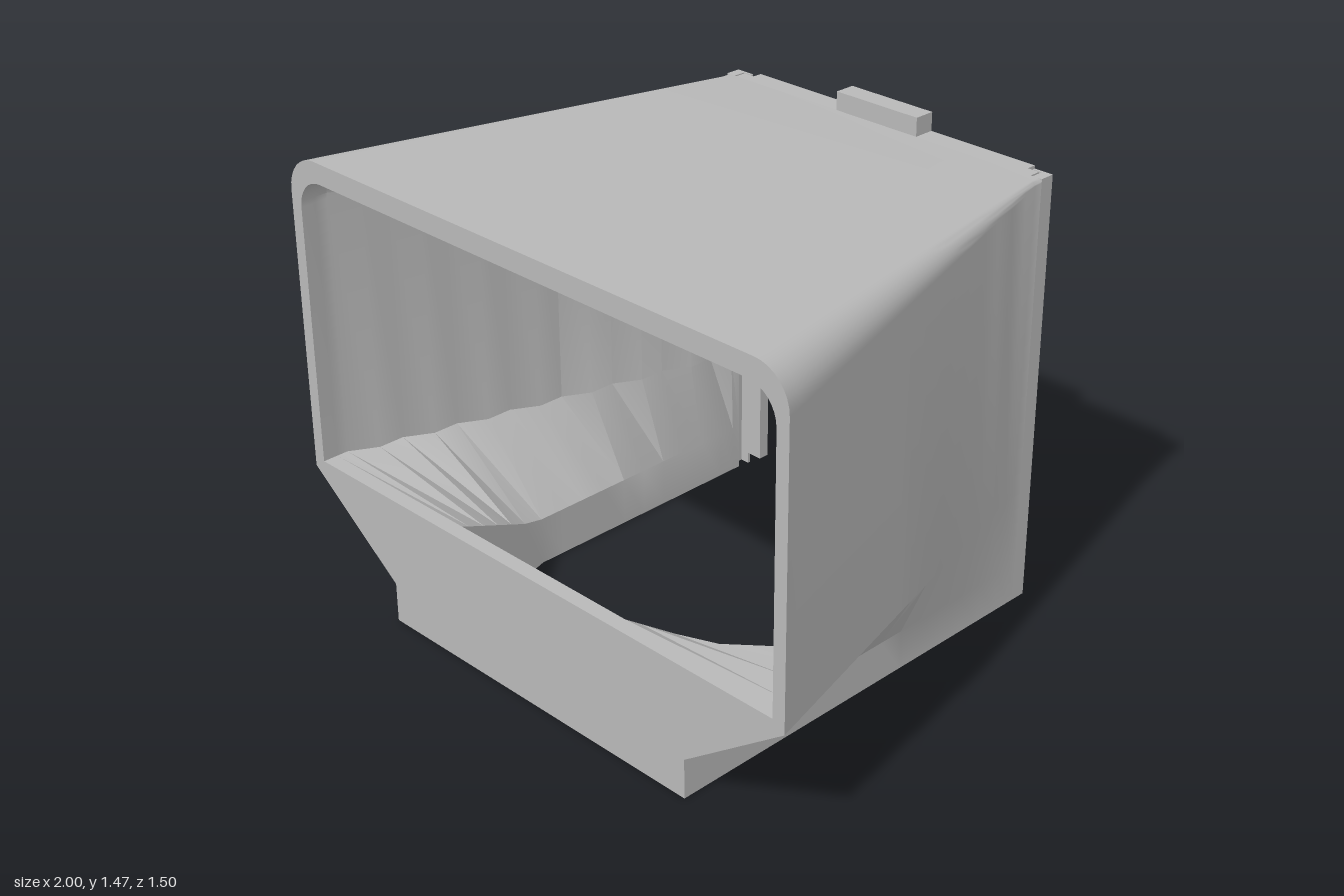
import * as THREE from 'three';
import { toCreasedNormals } from 'three/addons/utils/BufferGeometryUtils.js';

const FRONT = 0.75, BACK = -0.68, STEPS = 8, TOP = 1.41;
const lerp = THREE.MathUtils.lerp;
const ramp = (v, a, b) => THREE.MathUtils.clamp((v - a) / (b - a), 0, 1);

// Rounded upper right corner, running from the side to the top
function corner(w, top, r) {
  const pts = [];
  for (let i = 0; i <= 8; i++) {
    const a = (i / 8) * Math.PI / 2;
    pts.push([w - r + r * Math.cos(a), top - r + r * Math.sin(a)]);
  }
  return pts;
}

// Closed cross-section of the hood wall at depth z, open at the bottom
function section(z, innerW) {
  const t = ramp(z, FRONT, BACK);
  const w = lerp(1, 0.63, ramp(z, FRONT, -0.65));
  const k = ramp(z, 0.70, 0.25);
  const h = lerp(0.35, 0.57, k), floorY = lerp(0.43, 0.16, k);
  const outer = [[h, 0], [0.63, 0], [0.63, 0.13], [w, 0.4],
    ...corner(w, lerp(1.44, TOP, t), lerp(0.12, 0.015, t))];
  const inner = [[h, floorY], [innerW, 0.43],
    ...corner(innerW, lerp(1.375, 1.34, t), lerp(0.1, 0.03, t))];
  const flip = ([x, y]) => [-x, y];
  return [...outer, ...outer.map(flip).reverse(), ...inner.map(flip), ...[...inner].reverse()];
}

// Hood: lofted sections whose inner wall narrows in ribs
function hoodGeometry() {
  const stations = [];
  const period = (FRONT - BACK) / STEPS, drop = (0.957 - 0.57) / STEPS;
  for (let i = 0; i < STEPS; i++) {
    const z = FRONT - i * period, x = 0.957 - i * drop;
    stations.push([z, x]);
    if (i === 0) stations.push([0.70, x]);
    stations.push([z - period * 0.5, x]);
  }
  stations.push([-0.65, 0.578], [BACK, 0.57]);

  const rings = stations.map(([z, x]) => section(z, x));
  const n = rings[0].length;
  const pos = [], idx = [];
  rings.forEach((ring, s) => ring.forEach(([x, y]) => pos.push(x, y, stations[s][0])));
  for (let s = 0; s < rings.length - 1; s++) {
    for (let i = 0; i < n; i++) {
      const j = (i + 1) % n, a = s * n, b = a + n;
      idx.push(b + i, b + j, a + j, b + i, a + j, a + i);
    }
  }
  // Front rim and back rim
  for (const s of [0, rings.length - 1]) {
    const loop = rings[s].map(([x, y]) => new THREE.Vector2(x, y));
    for (const [a, b, c] of THREE.ShapeUtils.triangulateShape(loop, [])) {
      const o = s * n;
      if (s === 0) idx.push(o + a, o + b, o + c);
      else idx.push(o + a, o + c, o + b);
    }
  }
  const g = new THREE.BufferGeometry();
  g.setAttribute('position', new THREE.Float32BufferAttribute(pos, 3));
  g.setIndex(idx);
  return toCreasedNormals(g, Math.PI / 6);
}

export function createModel() {
  const model = new THREE.Group();
  model.name = 'ventedHood';
  const grey = new THREE.MeshStandardMaterial({ color: 0xb8b8b8 });
  grey.name = 'grey';

  const add = (parent, name, geometry) => {
    const m = new THREE.Mesh(geometry, grey);
    m.name = name;
    parent.add(m);
    return m;
  };
  // Box given by its limits on each axis
  const box = (parent, name, x0, x1, y0, y1, z0, z1) => {
    const g = new THREE.BoxGeometry(x1 - x0, y1 - y0, z1 - z0);
    g.translate((x0 + x1) / 2, (y0 + y1) / 2, (z0 + z1) / 2);
    return add(parent, name, g);
  };
  const boxPair = (parent, name, x0, x1, ...rest) => {
    box(parent, name + 'Left', x0, x1, ...rest);
    box(parent, name + 'Right', -x1, -x0, ...rest);
  };

  add(model, 'hood', hoodGeometry());
  box(model, 'frontSill', -0.35, 0.35, 0, 0.43, 0.70, FRONT);

  // Channels at the back that hold the sliding panel
  boxPair(model, 'channelWall', 0.597, 0.63, 0, TOP, -0.73, BACK);
  boxPair(model, 'channelLip', 0.565, 0.63, 0, TOP, -0.73, -0.721);

  // Louvred back panel
  const panel = new THREE.Group();
  panel.name = 'backPanel';
  model.add(panel);
  const zIn = BACK, zOut = -0.75, bottom = 0.51, slot = 0.035, slope = 0.04;
  boxPair(panel, 'stile', 0.49, 0.55, bottom, TOP, zOut, zIn);
  boxPair(panel, 'tongue', 0.55, 0.59, bottom, TOP, -0.718, zIn);
  box(panel, 'centreBar', -0.022, 0.022, bottom, TOP, zOut, zIn);

  // Slats with sloping slots between them
  const slotY = i => 1.222 - i * 0.0895;
  for (let i = 0; i <= 8; i++) {
    const hi = i === 0 ? TOP : slotY(i - 1) - slot / 2;
    const lo = i === 8 ? bottom : slotY(i) + slot / 2;
    const hiOut = i === 0 ? hi : hi - slope;
    const loOut = i === 8 ? lo : lo - slope;
    const profile = new THREE.Shape([
      new THREE.Vector2(zOut, loOut), new THREE.Vector2(zIn, lo),
      new THREE.Vector2(zIn, hi), new THREE.Vector2(zOut, hiOut)]);
    const g = new THREE.ExtrudeGeometry(profile, { depth: 0.98, bevelEnabled: false });
    g.rotateY(-Math.PI / 2);
    g.translate(0.49, 0, 0);
    add(panel, 'slat' + (i + 1), g);
  }

  // Legs below the panel and the pull tab on top
  boxPair(panel, 'leg', 0.47, 0.55, 0.07, bottom, -0.718, zIn);
  box(panel, 'pullTab', -0.16, 0.16, TOP, 1.47, zOut, zIn);

  return model;
}
